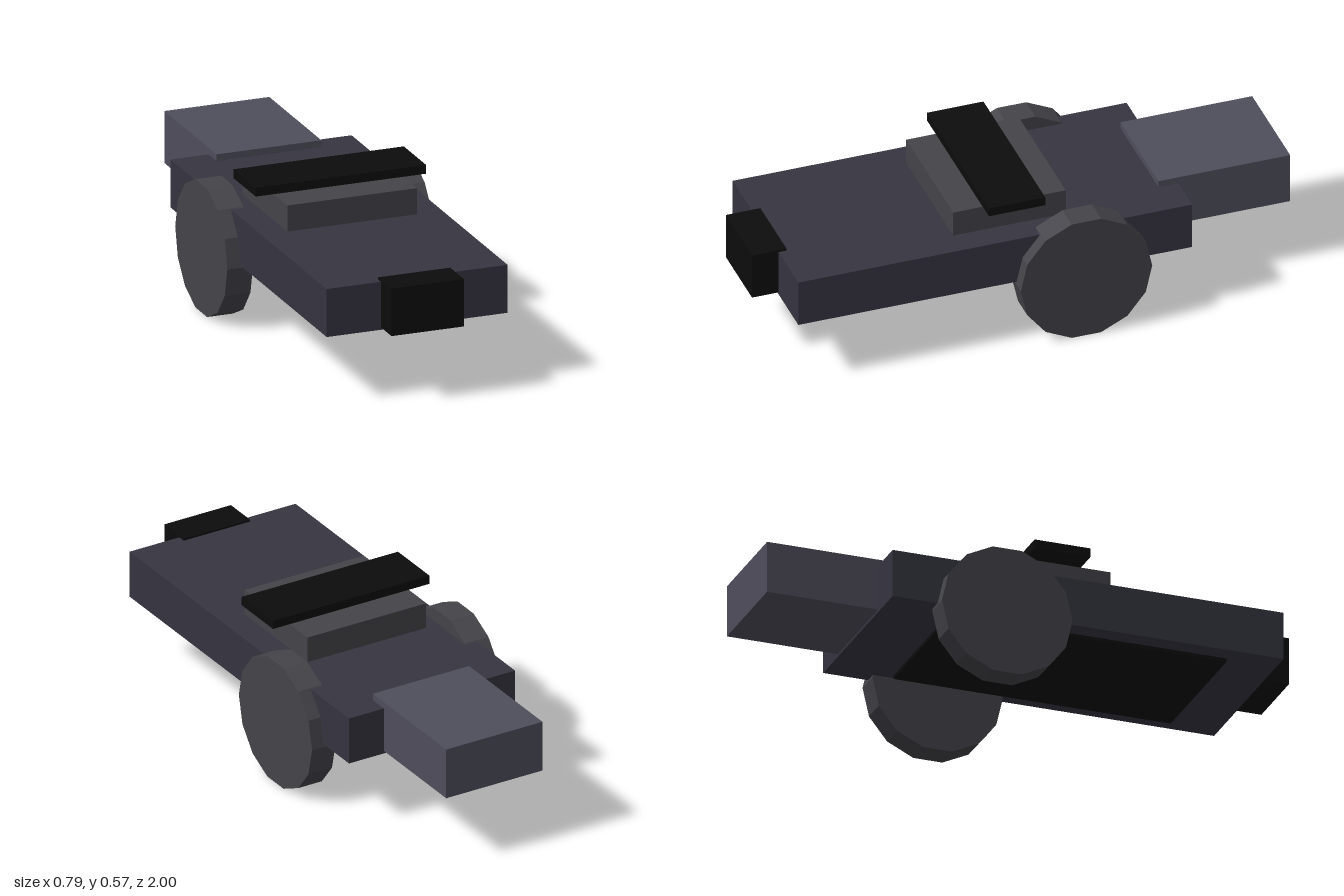
import * as THREE from 'three';

const paint = (color) => new THREE.MeshStandardMaterial({ color, flatShading: true });

export function createModel() {
  const model = new THREE.Group();
  const black = paint(0x0c0c0c);
  const slate = paint(0x353440);
  const grey = paint(0x434349);
  const light = paint(0x4e4d5b);

  // Box given by half width and its y and z ranges, centred on x
  function block(name, halfWidth, [y0, y1], [z0, z1], material) {
    const mesh = new THREE.Mesh(new THREE.BoxGeometry(2 * halfWidth, y1 - y0, z1 - z0), material);
    mesh.position.set(0, (y0 + y1) / 2, (z0 + z1) / 2);
    mesh.name = name;
    model.add(mesh);
  }

  block('body', 0.345, [0.25, 0.43], [-0.58, 0.9], slate);
  block('underPlate', 0.277, [0.237, 0.26], [-0.34, 0.71], black);
  block('noseBlock', 0.138, [0.259, 0.437], [0.87, 1], black);
  block('rearBlock', 0.2, [0.26, 0.455], [-1, -0.505], light);
  block('upperDeck', 0.247, [0.42, 0.528], [-0.14, 0.283], grey);
  block('topPlate', 0.325, [0.537, 0.57], [-0.035, 0.177], black);

  // Fourteen-sided wheels, resting on a flat side
  const radius = 0.247;
  const wheelGeometry = new THREE.CylinderGeometry(radius, radius, 0.098, 14).rotateZ(Math.PI / 2);
  for (const [side, name] of [[1, 'leftWheel'], [-1, 'rightWheel']]) {
    const wheel = new THREE.Mesh(wheelGeometry, grey);
    wheel.position.set(side * 0.346, radius * Math.cos(Math.PI / 14), -0.165);
    wheel.name = name;
    model.add(wheel);
  }

  return model;
}
